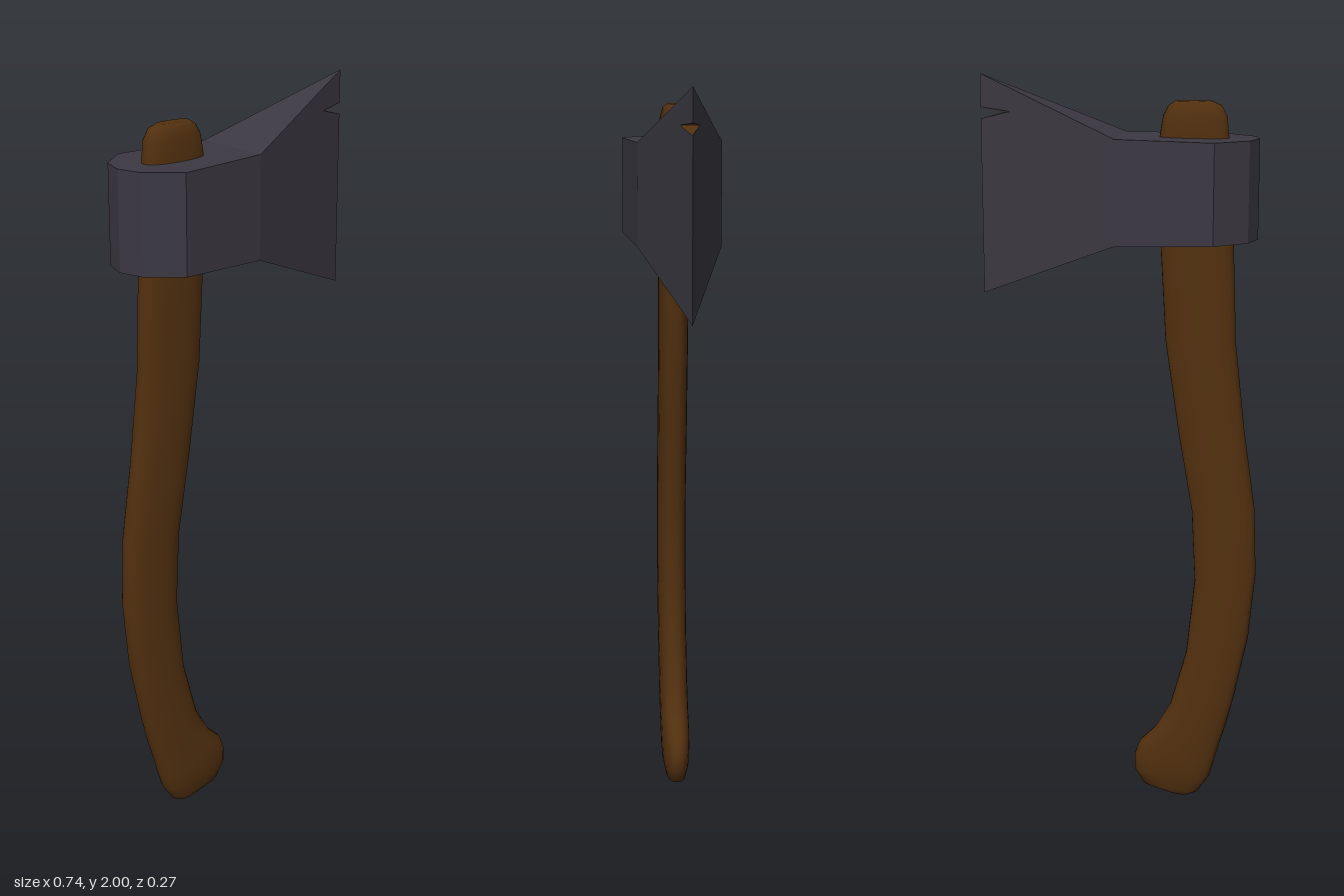
import * as THREE from 'three';

const steel = new THREE.MeshStandardMaterial({ color: 0x3b3842 });
const wood = new THREE.MeshStandardMaterial({ color: 0x52300f });
const rust = new THREE.MeshStandardMaterial({ color: 0x52300f, side: THREE.DoubleSide });

const EDGE = 0.367; // x of the cutting edge
const CHEEK = 0.11; // half thickness where the blade begins
const NOTCH = [[EDGE, 1.885], [0.285, 1.906], [EDGE, 1.915]];
const halfThickness = (x) => CHEEK * (1 - x / EDGE);

const polygon = (points) => new THREE.Shape(points.map(([x, y]) => new THREE.Vector2(x, y)));

// Move every vertex of a geometry by a rule, then recompute flat normals
function reshape(geometry, rule) {
  const p = geometry.attributes.position;
  for (let i = 0; i < p.count; i++) p.setXYZ(i, ...rule(p.getX(i), p.getY(i), p.getZ(i)));
  geometry.computeVertexNormals();
  return geometry;
}

function add(group, name, geometry, material) {
  const mesh = new THREE.Mesh(geometry, material);
  mesh.name = name;
  group.add(mesh);
}

// Faceted block around the handle: a plan outline raised in y
function eyeBlock() {
  const side = [[0, CHEEK], [-0.255, 0.135], [-0.337, 0.067]];
  const plan = [...side, [-0.357, 0], ...side.map(([x, z]) => [x, -z]).reverse()];
  const g = new THREE.ExtrudeGeometry(polygon(plan), { depth: 1, bevelEnabled: false });
  g.rotateX(-Math.PI / 2);
  return reshape(g, (x, y, z) => {
    const front = x > -0.01;
    return [x, y > 0.5 ? (front ? 1.848 : 1.845) : (front ? 1.578 : 1.588), z];
  });
}

// Flared blade: a side outline thinned to a sharp edge
function blade() {
  const outline = [[0, 1.578], [EDGE, 1.43], ...NOTCH, [EDGE, 2], [0, 1.848]];
  const g = new THREE.ExtrudeGeometry(polygon(outline), { depth: 2, bevelEnabled: false });
  return reshape(g, (x, y, z) => [x, y, (z - 1) * halfThickness(x)]);
}

// Inner faces of the notch in the cutting edge
function notchFaces() {
  const [low, tip, high] = NOTCH;
  const h = halfThickness(tip[0]);
  const corners = [];
  for (const [end, lift] of [[low, 0.001], [high, -0.001]]) {
    corners.push(tip[0], tip[1] + lift, h, tip[0], tip[1] + lift, -h, end[0], end[1] + lift, 0);
  }
  const g = new THREE.BufferGeometry();
  g.setAttribute('position', new THREE.Float32BufferAttribute(corners, 3));
  g.computeVertexNormals();
  return g;
}

// Curved handle lofted through oval sections: back x, y, front x, y, half depth
function handle() {
  const sections = [
    [-0.190, 0.005, -0.130, 0.014, 0.012],
    [-0.220, 0.020, -0.066, 0.037, 0.026],
    [-0.252, 0.069, -0.040, 0.080, 0.036],
    [-0.263, 0.110, -0.040, 0.122, 0.039],
    [-0.279, 0.170, -0.056, 0.165, 0.04],
    [-0.295, 0.223, -0.098, 0.207, 0.04],
    [-0.316, 0.308, -0.140, 0.281, 0.04],
    [-0.353, 0.493, -0.183, 0.440, 0.04],
    [-0.370, 0.679, -0.204, 0.652, 0.04],
    [-0.363, 0.865, -0.194, 0.849, 0.04],
    [-0.332, 1.077, -0.156, 1.066, 0.04],
    [-0.305, 1.316, -0.119, 1.316, 0.04],
    [-0.294, 1.597, -0.103, 1.597, 0.04],
    [-0.279, 1.846, -0.100, 1.846, 0.039],
    [-0.273, 1.900, -0.109, 1.900, 0.036],
    [-0.259, 1.926, -0.123, 1.926, 0.029],
    [-0.236, 1.937, -0.140, 1.937, 0.018],
  ];
  const n = 24;
  const soften = (v) => Math.sign(v) * Math.abs(v) ** 0.8;
  const points = [], index = [];
  for (const [bx, by, fx, fy, depth] of sections) {
    for (let i = 0; i < n; i++) {
      const a = (i / n) * Math.PI * 2;
      const t = (soften(Math.cos(a)) + 1) / 2;
      points.push(bx + (fx - bx) * t, by + (fy - by) * t, depth * soften(Math.sin(a)));
    }
  }
  // Centre points for the two end caps
  for (const [bx, by, fx, fy] of [sections[0], sections.at(-1)]) {
    points.push((bx + fx) / 2, (by + fy) / 2, 0);
  }
  const last = (sections.length - 1) * n, bottom = last + n, top = bottom + 1;
  for (let i = 0; i < n; i++) {
    const j = (i + 1) % n;
    for (let r = 0; r < last; r += n) {
      index.push(r + i, r + n + i, r + j, r + j, r + n + i, r + n + j);
    }
    index.push(bottom, i, j, top, last + j, last + i);
  }
  const g = new THREE.BufferGeometry();
  g.setAttribute('position', new THREE.Float32BufferAttribute(points, 3));
  g.setIndex(index);
  g.computeVertexNormals();
  return g;
}

export function createModel() {
  const axe = new THREE.Group();
  axe.name = 'axe';
  const head = new THREE.Group();
  head.name = 'axeHead';
  add(head, 'eyeBlock', eyeBlock(), steel);
  add(head, 'blade', blade(), steel);
  add(head, 'notch', notchFaces(), rust);
  axe.add(head);
  add(axe, 'handle', handle(), wood);
  return axe;
}
